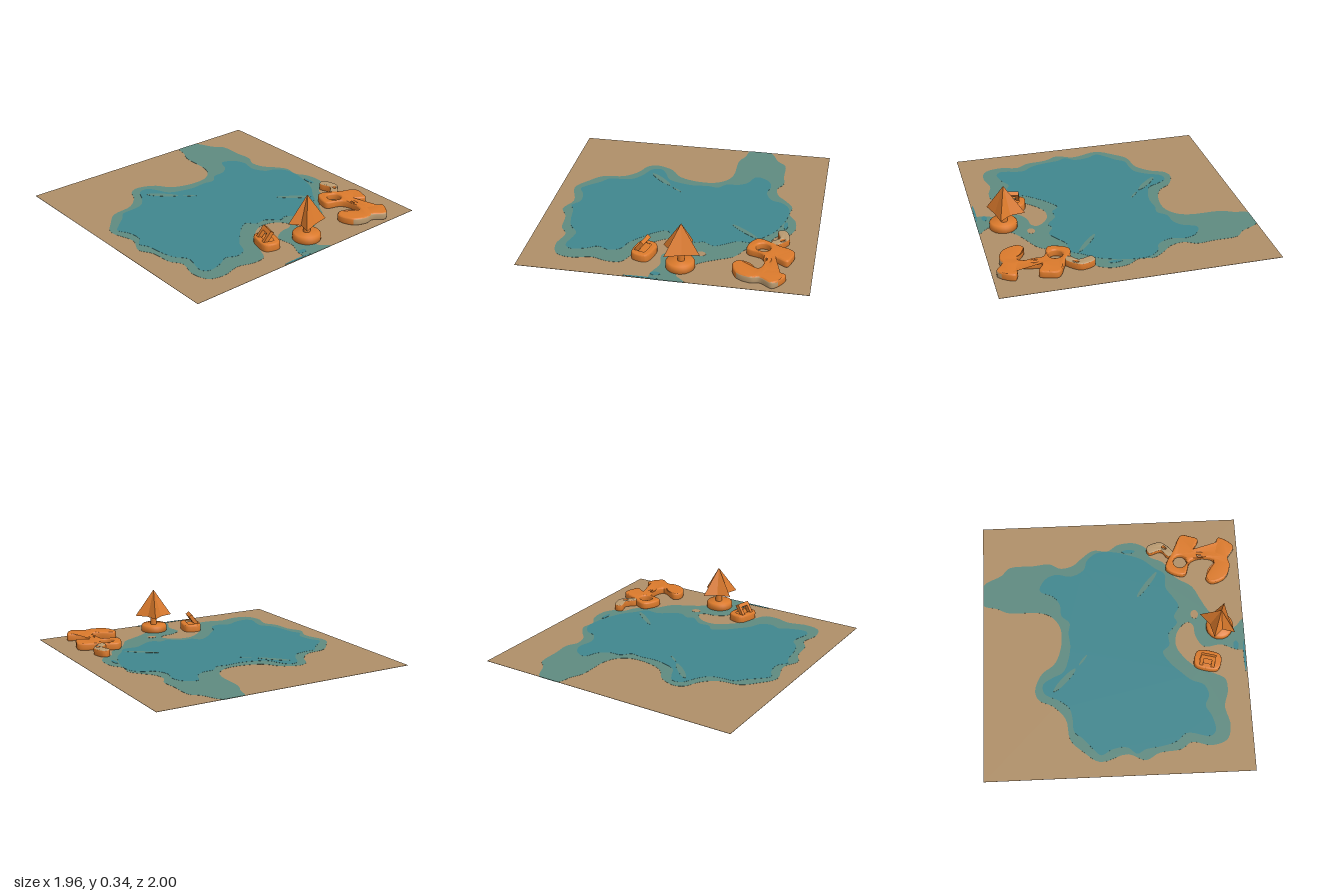
import * as THREE from 'three';
import { toCreasedNormals } from 'three/addons/utils/BufferGeometryUtils.js';

const GROUND = 0.011;

const material = (name, color) => {
  const m = new THREE.MeshStandardMaterial({ color });
  m.name = name;
  return m;
};

// Closed smooth outline through [x, z] points given in hundredths
function outline(points, samples = 240) {
  const curve = new THREE.CatmullRomCurve3(
    points.map(([x, z]) => new THREE.Vector3(x / 100, -z / 100, 0)), true, 'centripetal');
  return curve.getPoints(samples).slice(0, -1)
    .map(p => new THREE.Vector2(THREE.MathUtils.clamp(p.x, -0.98, 0.98), p.y));
}

// Ellipse outline on the ground; angle turns it as seen from above
function oval(x, z, rx, rz, angle = 0) {
  return new THREE.EllipseCurve(x, -z, rx, rz, 0, Math.PI * 2, false, angle).getPoints(24).slice(0, -1);
}

// Rounded block standing upright between two heights, with optional holes
function block(points, holes, bottom, top, bevel) {
  const shape = new THREE.Shape(points);
  holes.forEach(h => shape.holes.push(new THREE.Path(h)));
  const geo = new THREE.ExtrudeGeometry(shape, {
    depth: top - bottom - 2 * bevel, bevelEnabled: bevel > 0, bevelSize: bevel,
    bevelThickness: bevel, bevelOffset: -bevel, bevelSegments: 3
  });
  geo.rotateX(-Math.PI / 2).translate(0, bottom + bevel, 0);
  return toCreasedNormals(geo, 0.7);
}

// Give material 1 to triangles whose normal and centre pass the test
function paintFaces(geo, test) {
  geo.clearGroups();
  const pos = geo.attributes.position;
  const t = new THREE.Triangle(), n = new THREE.Vector3(), c = new THREE.Vector3();
  for (let i = 0; i < pos.count; i += 3) {
    t.setFromAttributeAndIndices(pos, i, i + 1, i + 2);
    t.getNormal(n);
    t.getMidpoint(c);
    geo.addGroup(i, 3, test(n, c) ? 1 : 0);
  }
  return geo;
}

// Pointed roof over a four-pointed star
function starRoof(tips, apex, y, inner) {
  const ring = [];
  tips.forEach((tip, i) => {
    const next = tips[(i + 1) % tips.length];
    const mid = new THREE.Vector2((tip[0] + next[0]) / 2 - apex.x, (tip[1] + next[1]) / 2 - apex.z)
      .setLength(inner);
    ring.push(new THREE.Vector3(tip[0], y, tip[1]), new THREE.Vector3(apex.x + mid.x, y, apex.z + mid.y));
  });
  const base = new THREE.Vector3(apex.x, y, apex.z), pts = [];
  ring.forEach((p, i) => {
    const q = ring[(i + 1) % ring.length];
    pts.push(apex, q, p, base, p, q);
  });
  const geo = new THREE.BufferGeometry().setFromPoints(pts);
  geo.computeVertexNormals();
  return geo;
}

export function createModel() {
  const model = new THREE.Group();
  model.name = 'lakesideScene';
  const sand = material('sand', 0xaf8f68);
  const shallow = material('shallowWater', 0x5f8a80);
  const deep = material('deepWater', 0x40868e);
  const orange = material('orange', 0xdb7a2c);
  const tan = material('paleTan', 0xb99a70);

  const add = (name, geo, mat, parent = model) => {
    const mesh = new THREE.Mesh(geo, mat);
    mesh.name = name;
    parent.add(mesh);
    return mesh;
  };
  // Thin plate centred on the ground plane, seen from both sides
  const plate = (name, points, half, mat) =>
    add(name, block(points, [], GROUND - half, GROUND + half, 0), mat);

  // Ground
  add('ground', new THREE.BoxGeometry(1.96, 0.002, 2).translate(0, GROUND, 0), sand);

  // Lake shallows with the west inlet and the east stream
  plate('shallows', outline([
    [-98, -52], [-84, -60], [-78, -66], [-60, -67], [-47, -68], [-39, -64], [-29, -66], [-22, -72],
    [-13, -78], [-2, -77], [6, -82], [19, -83], [28, -78], [30, -71], [40, -66], [49, -53],
    [61, -45], [67, -34], [72, -25], [79, -17], [90, -10], [98, -17], [98, 7], [90, 7],
    [80, 3], [67, 4], [61, -5], [60, -13], [56, -16], [48, -9], [46, 2], [50, 10],
    [60, 20], [72, 25], [81, 30], [82, 40], [79, 51], [82, 65], [79, 76], [67, 80],
    [53, 77], [45, 82], [29, 84], [19, 89], [6, 84], [-14, 89], [-26, 81], [-35, 72],
    [-38, 56], [-47, 46], [-57, 41], [-60, 34], [-55, 21], [-45, 13], [-40, 0], [-40, -15],
    [-46, -24], [-55, -28], [-79, -29], [-88, -33], [-98, -36]
  ]), 0.002, shallow);

  // Deep water
  plate('deepWater', outline([
    [-55, -48], [-50, -56], [-42, -59], [-31, -57], [-21, -62], [-18, -70], [-10, -76], [3, -76],
    [14, -73], [24, -69], [34, -61], [41, -56], [41, -45], [46, -37], [50, -29], [46, -21],
    [48, -16], [41, -7], [41, 2], [36, 7], [41, 16], [48, 23], [56, 30], [65, 34],
    [68, 42], [65, 50], [69, 58], [71, 69], [67, 73], [50, 70], [42, 76], [32, 79],
    [19, 81], [13, 84], [6, 79], [-5, 80], [-13, 84], [-19, 79], [-26, 71], [-32, 66],
    [-33, 56], [-35, 48], [-42, 42], [-53, 36], [-54, 29], [-47, 24], [-39, 20], [-35, 11],
    [-33, 0], [-34, -11], [-33, -19], [-39, -25], [-40, -34], [-45, -41], [-54, -45]
  ]), 0.003, deep);

  // Small pools, shoals and an islet
  plate('northPool', oval(0.14, -0.76, 0.05, 0.015), 0.0035, deep);
  plate('eastPool', oval(0.91, 0.04, 0.02, 0.035), 0.003, deep);
  plate('edgePool', oval(0.968, 0.13, 0.008, 0.12), 0.003, deep);
  plate('northShoal', oval(0.27, -0.48, 0.13, 0.018, 0.9), 0.004, shallow);
  plate('westShoal', oval(-0.38, 0.26, 0.12, 0.022, 0.8), 0.004, shallow);
  plate('midShoal', oval(-0.24, 0.11, 0.05, 0.008, 0.9), 0.004, shallow);
  plate('islet', oval(0.615, -0.22, 0.028, 0.035), 0.003, sand);

  // Twin block with openings, joined by a bridge; its east side is pale
  const twin = block(outline([
    [55, -86], [62, -85], [68, -82], [64, -73], [72, -71], [79, -70], [82, -80], [84, -83],
    [95, -75], [90, -66], [91, -60], [87, -50], [76, -46], [72, -50], [79, -64], [70, -67],
    [61, -64], [56, -53], [42, -59], [49, -75]
  ], 120), [
    oval(0.575, -0.78, 0.05, 0.062, -0.3), oval(0.53, -0.642, 0.05, 0.052, -0.4),
    oval(0.685, -0.692, 0.024, 0.02), oval(0.865, -0.735, 0.04, 0.06, -0.5),
    oval(0.785, -0.545, 0.036, 0.068, -0.55)
  ], 0.009, 0.066, 0.012);
  add('twinBlock', paintFaces(twin, (n, c) => n.x > 0.7 && c.x > 0.86), [orange, tan]);

  // Arm reaching west from the twin block, pale on top
  const arm = block(outline([
    [28, -75], [29, -78], [38, -81], [41, -80], [48, -73], [49, -69], [44, -69], [39, -74], [30, -72]
  ], 60), [oval(0.415, -0.763, 0.02, 0.014, -0.6)], 0.009, 0.064, 0.008);
  add('arm', paintFaces(arm, n => n.y > 0.4), [orange, tan]);

  // Tower: round base, post and star roof
  const tower = new THREE.Group();
  tower.name = 'tower';
  model.add(tower);
  const profile = [[0, 0.007], [0.09, 0.007], [0.1, 0.016], [0.1, 0.055], [0.09, 0.066], [0, 0.066]];
  const base = new THREE.LatheGeometry(profile.map(p => new THREE.Vector2(...p)), 32);
  add('towerBase', toCreasedNormals(base, 0.9), orange, tower).position.set(0.795, 0, -0.11);
  add('towerPost', new THREE.CylinderGeometry(0.025, 0.025, 0.09, 20), orange, tower)
    .position.set(0.79, 0.105, -0.115);
  add('towerRoof', starRoof([[0.833, -0.25], [0.895, -0.015], [0.74, 0.015], [0.645, -0.17]],
    new THREE.Vector3(0.783, 0.345, -0.115), 0.14, 0.075), orange, tower);

  // Tub: rounded rim, inset floor and a leaning arch
  const tub = new THREE.Group();
  tub.name = 'tub';
  tub.position.set(0.686, 0, 0.162);
  tub.rotation.y = -0.25;
  model.add(tub);
  const rim = outline([[-9.5, -4], [-7, -6.5], [7, -6.5], [9.5, -4], [9.5, 4], [7, 6.5], [-7, 6.5], [-9.5, 4]], 64);
  const well = outline([[-6.5, -3], [-5, -4], [5, -4], [6.5, -3], [6.5, 3], [5, 4], [-5, 4], [-6.5, 3]], 48);
  add('tubRim', block(rim, [well], 0, 0.066, 0.012), orange, tub);
  add('tubFloor', new THREE.BoxGeometry(0.15, 0.044, 0.1).translate(0, 0.03, 0), orange, tub);
  const arch = new THREE.Shape([
    [-0.055, 0], [-0.03, 0], [-0.03, 0.075], [0.03, 0.075], [0.03, 0],
    [0.055, 0], [0.055, 0.105], [-0.055, 0.105]
  ].map(p => new THREE.Vector2(...p)));
  const archGeo = new THREE.ExtrudeGeometry(arch, { depth: 0.03, bevelEnabled: false });
  const archMesh = add('tubArch', archGeo.translate(0, 0, -0.015), orange, tub);
  archMesh.position.set(0, 0.047, 0.048);
  archMesh.rotation.x = -0.62;

  return model;
}
